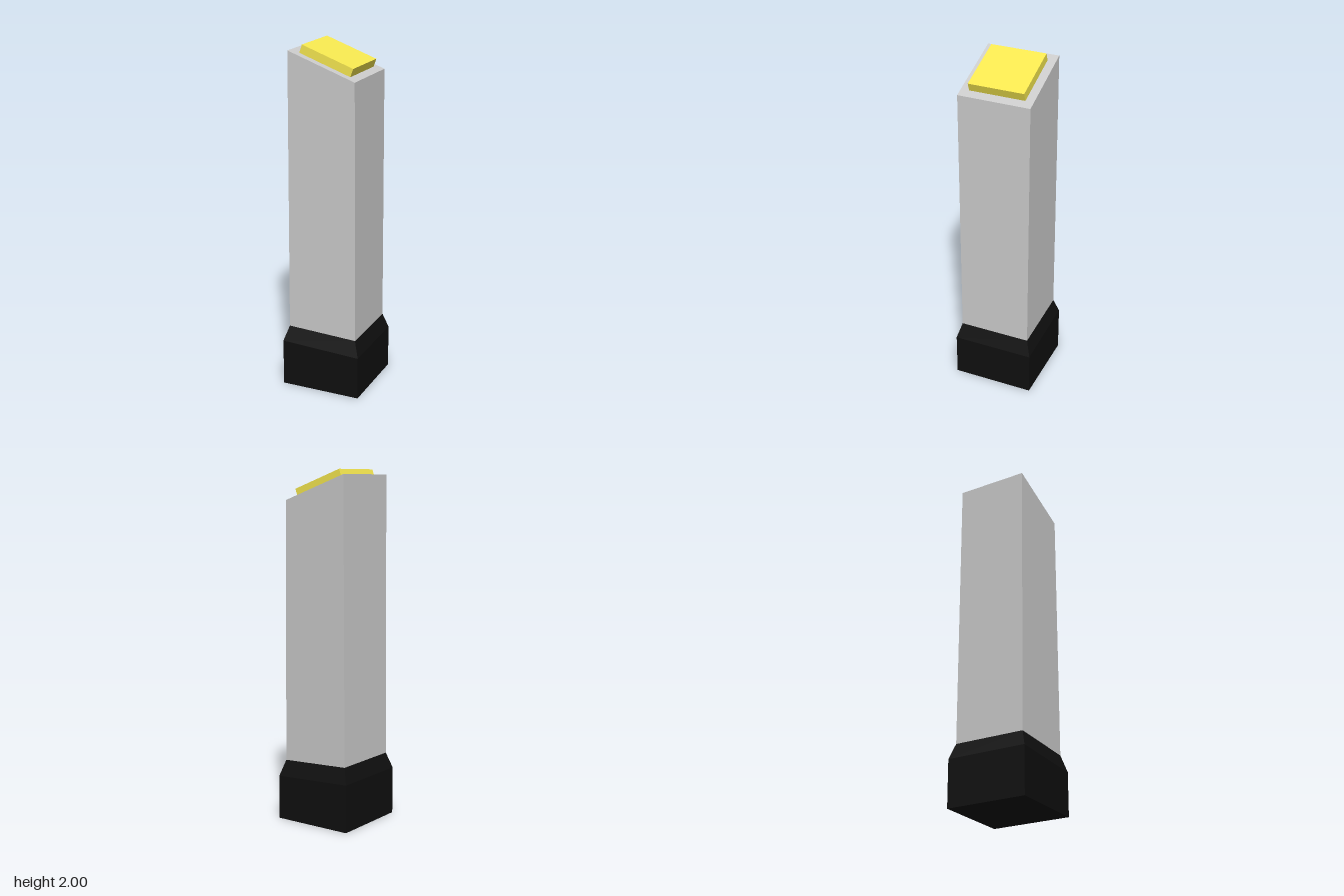
import * as THREE from 'three';

const grey = new THREE.MeshStandardMaterial({ color: 0xcccccc, flatShading: true });
const black = new THREE.MeshStandardMaterial({ color: 0x0f0f0f, flatShading: true });
const yellow = new THREE.MeshStandardMaterial({ color: 0xf7e950, flatShading: true });

// Four-sided column through rings { x, z, left, right }: half width, half depth, height at -x and +x
function squareLoft(rings) {
  const pos = [], index = [];
  for (const { x, z, left, right } of rings) {
    pos.push(-x, left, z, x, right, z, x, right, -z, -x, left, -z);
  }
  for (let r = 0; r < rings.length - 1; r++) {
    for (let i = 0; i < 4; i++) {
      const a = r * 4 + i, b = r * 4 + (i + 1) % 4;
      index.push(a, b, b + 4, a, b + 4, a + 4);
    }
  }
  // End caps
  const t = (rings.length - 1) * 4;
  index.push(0, 2, 1, 0, 3, 2, t, t + 1, t + 2, t, t + 2, t + 3);
  const geo = new THREE.BufferGeometry();
  geo.setAttribute('position', new THREE.Float32BufferAttribute(pos, 3));
  geo.setIndex(index);
  const flat = geo.toNonIndexed();
  flat.computeVertexNormals();
  return flat;
}

function addPart(group, name, geometry, material) {
  const mesh = new THREE.Mesh(geometry, material);
  mesh.name = name;
  group.add(mesh);
  return mesh;
}

export function createModel() {
  const group = new THREE.Group();
  group.name = 'post';

  // Wide foot with a chamfered, slightly sloping shoulder
  addPart(group, 'base', squareLoft([
    { x: 0.236, z: 0.236, left: 0, right: 0 },
    { x: 0.236, z: 0.236, left: 0.273, right: 0.252 },
    { x: 0.206, z: 0.208, left: 0.363, right: 0.345 },
  ]), black);

  // Column, tapering a little in width, with a slanted top
  addPart(group, 'column', squareLoft([
    { x: 0.206, z: 0.208, left: 0.363, right: 0.345 },
    { x: 0.196, z: 0.208, left: 1.97, right: 1.829 },
  ]), grey);

  // Square pad lying on the slanted top
  const pad = addPart(group, 'topPad', new THREE.BoxGeometry(0.318, 0.05, 0.32), yellow);
  pad.position.set(0.008, 1.921, 0);
  pad.rotation.z = -Math.atan2(1.97 - 1.829, 0.392);

  return group;
}
